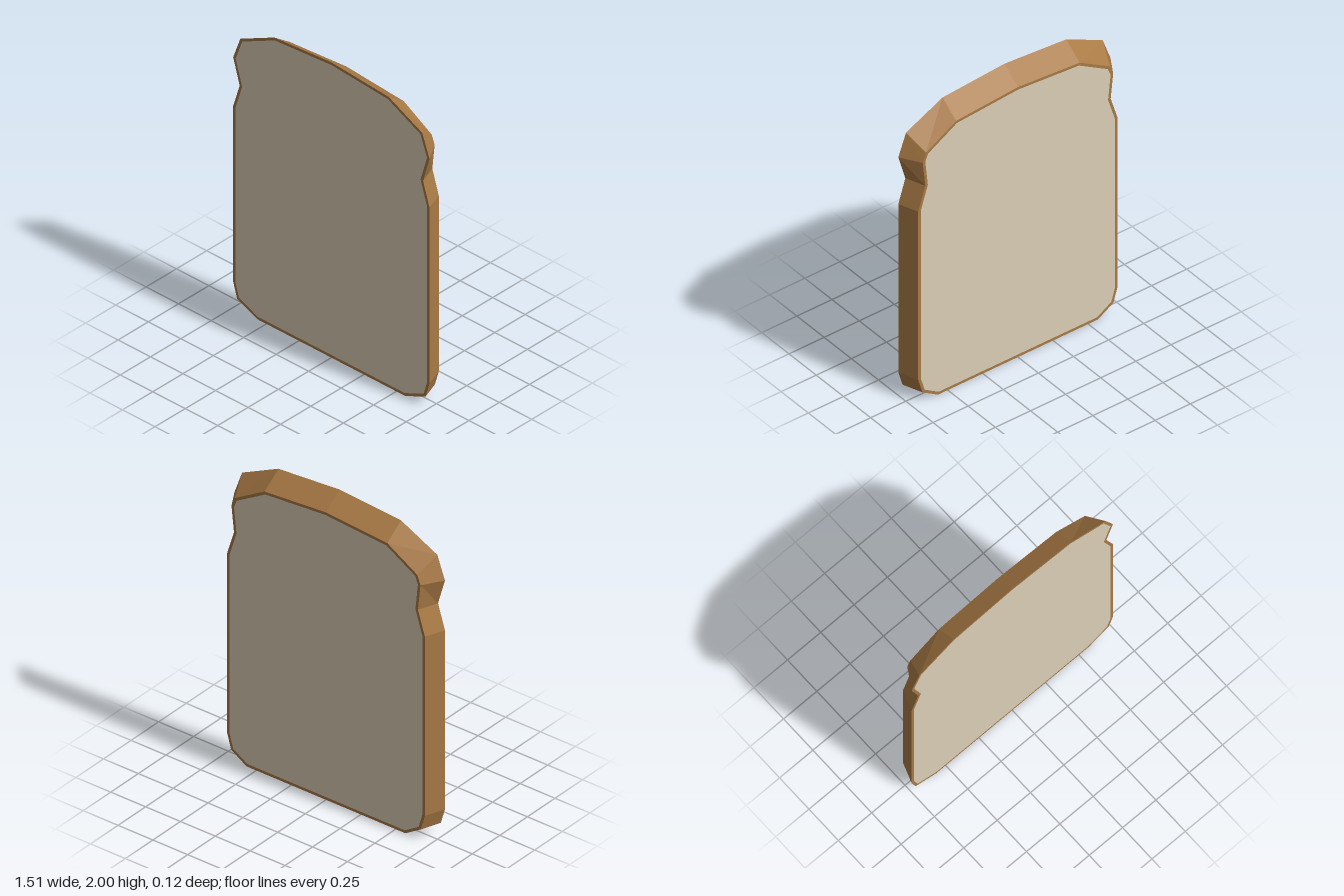
import * as THREE from 'three';

const crustMat = new THREE.MeshStandardMaterial({ color: 0xa97a45 });
crustMat.name = 'brownCrust';
const crumbMat = new THREE.MeshStandardMaterial({ color: 0xdccfb6 });
crumbMat.name = 'creamCrumb';

const HALF = 0.0625; // half the slice thickness
const RIM = 0.018;   // width of the crust seen on each face

// Half outlines from bottom to top, on the +x side
const frontHalf = [[0.57, 0], [0.725, 0.068], [0.755, 0.17], [0.755, 1.36], [0.705, 1.52], [0.755, 1.69], [0.7, 1.84], [0.44, 1.967], [0, 2]];
const backHalf = [[0.57, 0], [0.68, 0.068], [0.71, 0.17], [0.71, 1.36], [0.66, 1.52], [0.678, 1.69], [0.655, 1.75], [0.44, 1.877], [0, 1.91]];

// Full counterclockwise loop, mirrored in x
function mirrorLoop(half) {
  const right = half.map(([x, y]) => new THREE.Vector2(x, y));
  const left = half.slice(0, -1).reverse().map(([x, y]) => new THREE.Vector2(-x, y));
  return right.concat(left);
}

// Move every edge inwards by d, with mitred corners
function inset(loop, d) {
  const n = loop.length;
  const normal = (a, b) => new THREE.Vector2(a.y - b.y, b.x - a.x).normalize();
  return loop.map((p, i) => {
    const n1 = normal(loop[(i + n - 1) % n], p);
    const n2 = normal(p, loop[(i + 1) % n]);
    const miter = n1.clone().add(n2).multiplyScalar(d / (1 + n1.dot(n2)));
    return p.clone().add(miter);
  });
}

// Flat-faced skin through a list of loops, ordered from front to back
function skin(rings) {
  const pos = [];
  for (let r = 0; r < rings.length - 1; r++) {
    const [A, B] = [rings[r], rings[r + 1]];
    const n = A.loop.length;
    const put = (ring, i) => pos.push(ring.loop[i].x, ring.loop[i].y, ring.z);
    for (let i = 0; i < n; i++) {
      const j = (i + 1) % n;
      put(A, i); put(B, i); put(A, j);
      put(A, j); put(B, i); put(B, j);
    }
  }
  const geo = new THREE.BufferGeometry();
  geo.setAttribute('position', new THREE.Float32BufferAttribute(pos, 3));
  geo.computeVertexNormals();
  return geo;
}

export function createModel() {
  const group = new THREE.Group();
  group.name = 'breadSlice';
  const front = mirrorLoop(frontHalf);
  const back = mirrorLoop(backHalf);
  const frontInner = inset(front, RIM);
  const backInner = inset(back, RIM);

  const add = (geo, mat, name) => {
    const mesh = new THREE.Mesh(geo, mat);
    mesh.name = name;
    group.add(mesh);
    return mesh;
  };

  // Crust: front rim, tapered side wall and back rim
  add(skin([
    { loop: frontInner, z: HALF },
    { loop: front, z: HALF },
    { loop: back, z: -HALF },
    { loop: backInner, z: -HALF },
  ]), crustMat, 'crust');

  // Crumb faces fill the rims; the back one is turned round
  add(new THREE.ShapeGeometry(new THREE.Shape(frontInner)), crumbMat, 'frontCrumb').position.z = HALF;
  const rear = add(new THREE.ShapeGeometry(new THREE.Shape(backInner)), crumbMat, 'backCrumb');
  rear.rotation.y = Math.PI;
  rear.position.z = -HALF;

  return group;
}
